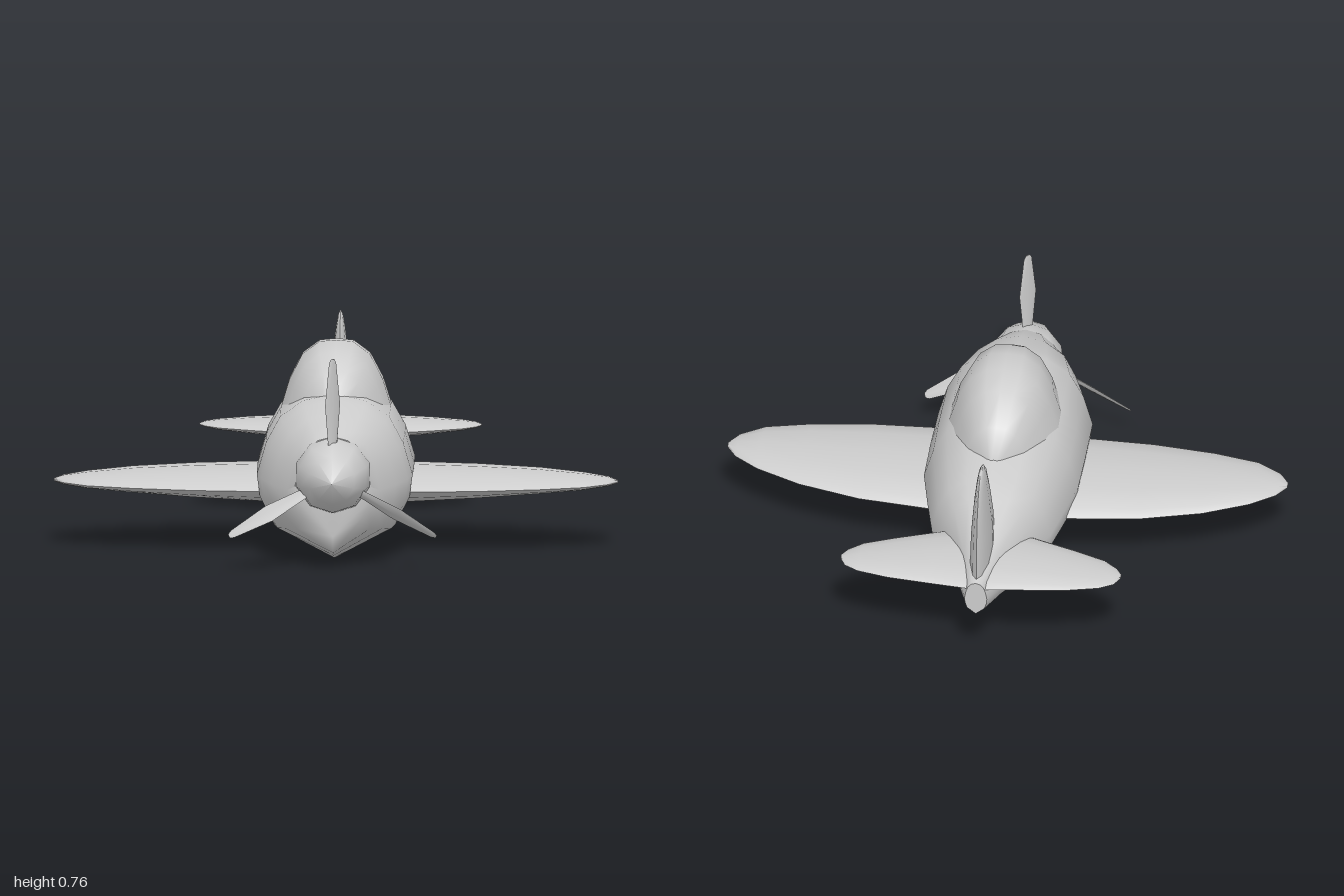
import * as THREE from 'three';
import { toCreasedNormals } from 'three/addons/utils/BufferGeometryUtils.js';

const grey = new THREE.MeshStandardMaterial({ color: 0xcccccc });

// Skin a list of closed rings (each turning counter-clockwise about the direction of travel), with end caps.
function loft(rings, crease = 1.1) {
  const n = rings[0].length, last = (rings.length - 1) * n, index = [];
  for (let i = 0; i < rings.length - 1; i++) {
    for (let j = 0; j < n; j++) {
      const a = i * n + j, b = i * n + (j + 1) % n;
      index.push(a, b, b + n, a, b + n, a + n);
    }
  }
  for (let j = 1; j < n - 1; j++) {
    index.push(0, j + 1, j, last, last + j, last + j + 1);
  }
  const geo = new THREE.BufferGeometry();
  geo.setAttribute('position', new THREE.Float32BufferAttribute(rings.flat(2), 3));
  geo.setIndex(index);
  return toCreasedNormals(geo, crease);
}

// Body along z. Sections: [z, bottom, top, half width]; profile: [width fraction, height fraction], bottom to top.
function hull(sections, profile) {
  const mirrored = profile.slice(1, -1).reverse().map(([w, h]) => [-w, h]);
  const outline = [...profile, ...mirrored];
  return loft(sections.map(([z, lo, hi, half]) =>
    outline.map(([w, h]) => [w * half, lo + h * (hi - lo), z])));
}

// Lens-shaped panel along x. Sections: [x, front z, back z, edge y, rise, drop].
function panel(sections, sides = 12) {
  return loft(sections.map(([x, front, back, edge, rise, drop]) =>
    Array.from({ length: sides }, (_, k) => {
      const a = (k / sides) * Math.PI * 2, c = Math.cos(a), s = Math.sin(a);
      const y = Math.abs(c) ** 1.3 * (c > 0 ? rise : -drop);
      return [x, edge + y, (front + back) / 2 + s * (front - back) / 2];
    })));
}

// Repeat the sections of one side on the other side.
const bothSides = (s) => [...s.map(([x, ...rest]) => [-x, ...rest]).reverse(), ...s];

export function createModel() {
  const model = new THREE.Group();
  model.name = 'airplane';
  const add = (name, geometry, parent = model) => {
    const mesh = new THREE.Mesh(geometry, grey);
    mesh.name = name;
    parent.add(mesh);
    return mesh;
  };

  // Fuselage, tail to nose
  add('fuselage', hull([
    [-0.8, 0.21, 0.34, 0.04],
    [-0.64, 0.145, 0.39, 0.088],
    [-0.46, 0.08, 0.475, 0.172],
    [-0.38, 0.05, 0.505, 0.213],
    [-0.24, 0.035, 0.54, 0.245],
    [-0.09, 0.02, 0.57, 0.276],
    [0.1, 0.013, 0.58, 0.278],
    [0.31, 0.003, 0.58, 0.276],
    [0.36, 0, 0.567, 0.26],
    [0.47, 0.027, 0.537, 0.22],
    [0.55, 0.05, 0.5, 0.165],
    [0.6, 0.115, 0.475, 0.135],
  ], [[0, 0], [0.78, 0.19], [0.96, 0.36], [1, 0.5], [0.88, 0.7], [0.7, 0.86], [0.4, 0.96], [0, 1]]));

  // Cockpit canopy
  add('canopy', hull([
    [-0.3, 0.45, 0.52, 0.03],
    [-0.23, 0.45, 0.62, 0.115],
    [-0.12, 0.45, 0.7, 0.17],
    [-0.02, 0.45, 0.726, 0.2],
    [0.07, 0.45, 0.735, 0.2],
    [0.17, 0.45, 0.705, 0.18],
    [0.25, 0.45, 0.65, 0.14],
    [0.32, 0.45, 0.575, 0.07],
  ], [[0, 0], [1, 0.1], [0.83, 0.5], [0.6, 0.82], [0.3, 0.98], [0, 1]]));

  // Main wings, one panel running through the fuselage
  add('wings', panel(bothSides([
    [0.22, 0.31, -0.2, 0.228, 0.06, 0.068],
    [0.5, 0.3, -0.17, 0.23, 0.052, 0.052],
    [0.72, 0.27, -0.11, 0.232, 0.042, 0.036],
    [0.88, 0.23, -0.035, 0.234, 0.028, 0.024],
    [0.965, 0.17, 0.03, 0.235, 0.016, 0.014],
    [1, 0.115, 0.085, 0.235, 0.005, 0.005],
  ])));

  // Tailplane
  add('tailplane', panel(bothSides([
    [0.03, -0.41, -0.795, 0.312, 0.038, 0.038],
    [0.17, -0.455, -0.78, 0.312, 0.034, 0.034],
    [0.32, -0.512, -0.762, 0.312, 0.025, 0.025],
    [0.43, -0.56, -0.735, 0.312, 0.016, 0.016],
    [0.48, -0.605, -0.705, 0.312, 0.009, 0.009],
    [0.5, -0.64, -0.665, 0.312, 0.003, 0.003],
  ])));

  // Upright tail fin, a panel turned on end
  add('tailFin', panel([
    [0.3, -0.44, -0.785, 0, 0.042, 0.042],
    [0.48, -0.46, -0.775, 0, 0.036, 0.036],
    [0.59, -0.5, -0.755, 0, 0.026, 0.026],
    [0.67, -0.545, -0.722, 0, 0.016, 0.016],
    [0.71, -0.59, -0.682, 0, 0.009, 0.009],
    [0.723, -0.62, -0.645, 0, 0.003, 0.003],
  ]).rotateZ(Math.PI / 2));

  // Propeller: spinner cone and three pitched blades
  const propeller = new THREE.Group();
  propeller.name = 'propeller';
  propeller.position.set(0, 0.337, 0.65);
  model.add(propeller);

  const spinnerProfile = [[0, -0.1], [0.137, -0.1], [0.137, -0.05], [0.125, 0.01], [0.083, 0.09], [0, 0.15]]
    .map(([r, y]) => new THREE.Vector2(r, y));
  add('spinner', toCreasedNormals(new THREE.LatheGeometry(spinnerProfile, 10).rotateX(Math.PI / 2), 0.9), propeller);

  const blade = panel([
    [0.06, 0.02, -0.02, 0, 0.008, 0.008],
    [0.13, 0.024, -0.024, 0, 0.008, 0.008],
    [0.26, 0.038, -0.038, 0, 0.006, 0.006],
    [0.41, 0.018, -0.018, 0, 0.003, 0.003],
    [0.424, 0.009, -0.009, 0, 0.002, 0.002],
  ], 8).rotateX(-0.75);
  for (let i = 0; i < 3; i++) {
    add('propellerBlade' + (i + 1), blade, propeller).rotation.z = Math.PI / 2 + (i * Math.PI * 2) / 3;
  }

  return model;
}
